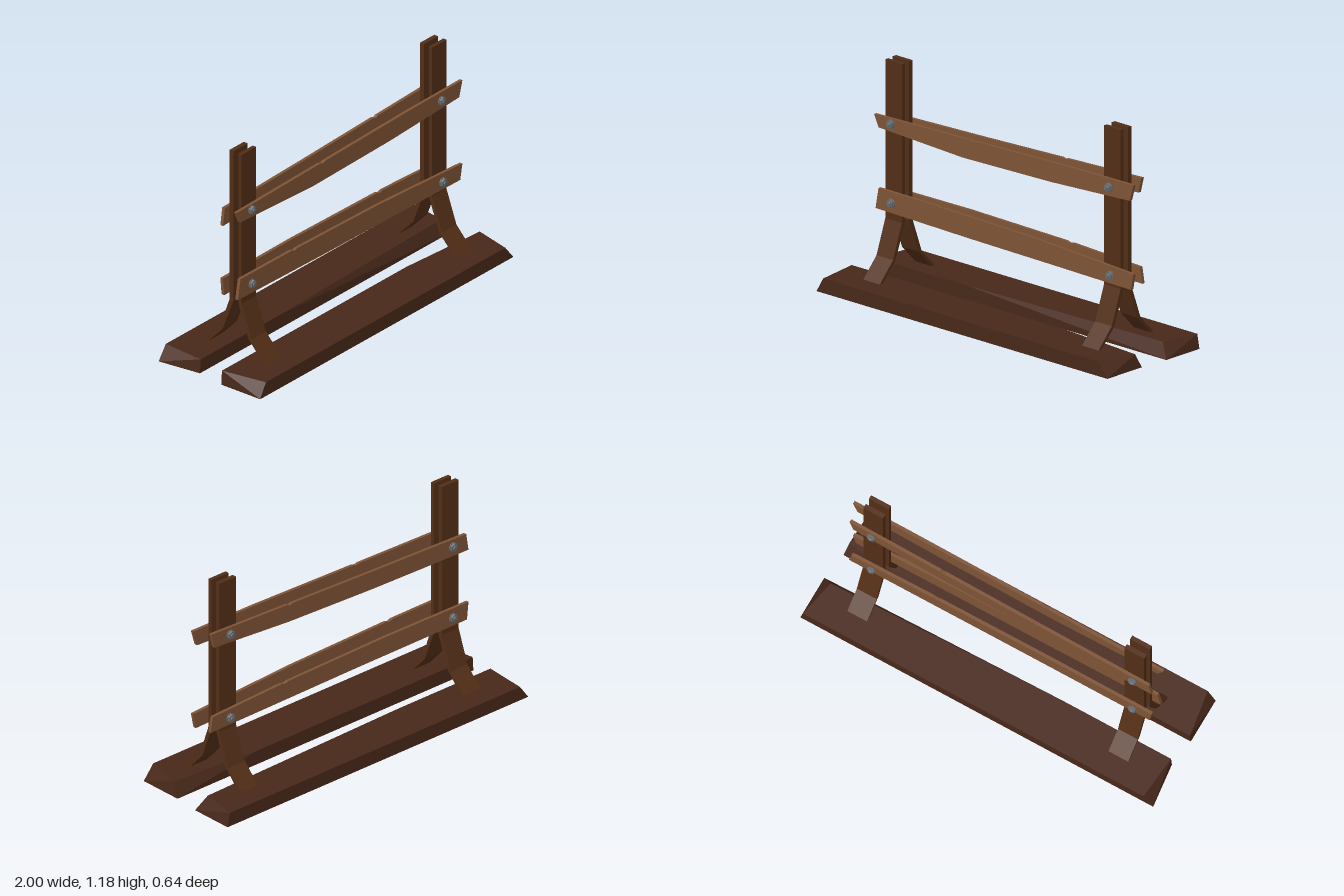
import * as THREE from 'three';
import { ConvexGeometry } from 'three/addons/geometries/ConvexGeometry.js';

const paint = (color) => new THREE.MeshStandardMaterial({ color });
const beamWood = paint(0x48281a);
const postWood = paint(0x522e16);
const plankWood = paint(0x7d5335);
const steel = paint(0x666c70);

function shapeOf(points) {
  return new THREE.Shape(points.map(([x, y]) => new THREE.Vector2(x, y)));
}

function addMesh(parent, name, geometry, material) {
  const mesh = new THREE.Mesh(geometry, material);
  mesh.name = name;
  parent.add(mesh);
  return mesh;
}

// Ground beam with hewn ends: hull of a bottom and a top outline, given as [x, z]
function beamGeometry(bottom, top, y0, y1) {
  const at = (y) => ([x, z]) => new THREE.Vector3(x, y, z);
  return new ConvexGeometry([...bottom.map(at(y0)), ...top.map(at(y1))]);
}

// Upright whose foot bends outward: [z, y] profile extruded across its width
function postGeometry(profile, x0, width) {
  const g = new THREE.ExtrudeGeometry(shapeOf(profile), { depth: width, bevelEnabled: false });
  return g.rotateY(-Math.PI / 2).translate(x0 + width, 0, 0);
}

// Rough plank: [x, y] outline extruded through its thickness
function plankGeometry(outline, z0, z1) {
  const g = new THREE.ExtrudeGeometry(shapeOf(outline), { depth: z1 - z0, bevelEnabled: false });
  return g.translate(0, 0, z0);
}

// Washer, hexagonal nut and bolt end, facing +z (side 1) or -z (side -1)
function makeBolt(name, x, y, z, side) {
  const bolt = new THREE.Group();
  bolt.name = name;
  const layers = [
    ['washer', 0.025, 0.025, 12, 0, 0.005],
    ['nut', 0.021, 0.023, 6, 0.005, 0.016],
    ['boltEnd', 0.009, 0.012, 8, 0.016, 0.021],
  ];
  for (const [part, rTop, rBase, sides, from, to] of layers) {
    const g = new THREE.CylinderGeometry(rTop, rBase, to - from, sides);
    g.rotateX(Math.PI / 2).translate(0, 0, (from + to) / 2);
    const material = steel.clone();
    material.flatShading = true;
    addMesh(bolt, part, g, material);
  }
  bolt.position.set(x, y, z);
  if (side < 0) bolt.rotation.y = Math.PI;
  return bolt;
}

export function createModel() {
  const model = new THREE.Group();
  model.name = 'woodenBarrier';

  // Ground beams
  addMesh(model, 'frontBeam', beamGeometry(
    [[-0.99, 0.07], [-0.99, 0.317], [0.978, 0.317], [0.978, 0.07]],
    [[-0.985, 0.07], [-0.945, 0.317], [0.915, 0.317], [0.97, 0.11], [0.45, 0.07]],
    0, 0.076), beamWood);
  addMesh(model, 'backBeam', beamGeometry(
    [[-1, -0.32], [-0.97, -0.082], [1, -0.082], [1, -0.32]],
    [[-0.945, -0.32], [-0.965, -0.082], [-0.35, -0.082], [0.945, -0.115], [0.985, -0.32]],
    0.005, 0.08), beamWood);

  // Paired uprights with splayed feet
  const frontProfile = [
    [0.015, 1.182], [0.015, 0.35], [0.082, 0.172], [0.175, 0.072],
    [0.197, 0.072], [0.099, 0.179], [0.036, 0.357], [0.036, 1.182],
  ];
  const backProfile = [
    [-0.017, 1.184], [-0.017, 0.355], [-0.085, 0.178], [-0.182, 0.076],
    [-0.204, 0.076], [-0.106, 0.178], [-0.042, 0.355], [-0.042, 1.184],
  ];
  for (const [label, x0] of [['right', -0.79], ['left', 0.69]]) {
    addMesh(model, label + 'FrontPost', postGeometry(frontProfile, x0, 0.112), postWood);
    addMesh(model, label + 'BackPost', postGeometry(backProfile, x0, 0.112), postWood);
  }

  // Rails, with small chips along their upper edges
  addMesh(model, 'upperFrontRail', plankGeometry([
    [-0.82, 0.825], [-0.25, 0.8], [0.35, 0.812], [0.88, 0.837], [0.905, 0.922],
    [0.5, 0.919], [-0.16, 0.903], [-0.18, 0.897], [-0.2, 0.902], [-0.85, 0.888],
  ], 0.036, 0.053), plankWood);
  addMesh(model, 'upperBackRail', plankGeometry([
    [-0.84, 0.782], [-0.2, 0.795], [0.35, 0.815], [0.85, 0.85], [0.87, 0.93],
    [0.36, 0.912], [0.35, 0.905], [0.33, 0.911], [-0.2, 0.893], [-0.825, 0.875],
  ], -0.059, -0.042), plankWood);
  addMesh(model, 'lowerFrontRail', plankGeometry([
    [-0.84, 0.402], [-0.2, 0.39], [0.4, 0.383], [0.888, 0.376], [0.905, 0.46],
    [0.25, 0.493], [-0.38, 0.506], [-0.4, 0.5], [-0.42, 0.508], [-0.82, 0.51],
  ], 0.036, 0.053), plankWood);
  addMesh(model, 'lowerBackRail', plankGeometry([
    [-0.83, 0.395], [-0.1, 0.392], [0.45, 0.386], [0.875, 0.382], [0.86, 0.465],
    [0.4, 0.483], [0.38, 0.477], [0.36, 0.484], [-0.3, 0.494], [-0.84, 0.49],
  ], -0.059, -0.042), plankWood);

  // Bolts: [x, y, side]
  const bolts = [
    [-0.735, 0.862, 1], [0.74, 0.875, 1], [-0.732, 0.452, 1], [0.75, 0.42, 1],
    [-0.735, 0.837, -1], [0.745, 0.888, -1], [-0.735, 0.44, -1], [0.745, 0.422, -1],
  ];
  bolts.forEach(([x, y, side], i) => {
    model.add(makeBolt('bolt' + (i + 1), x, y, side > 0 ? 0.053 : -0.059, side));
  });

  return model;
}
